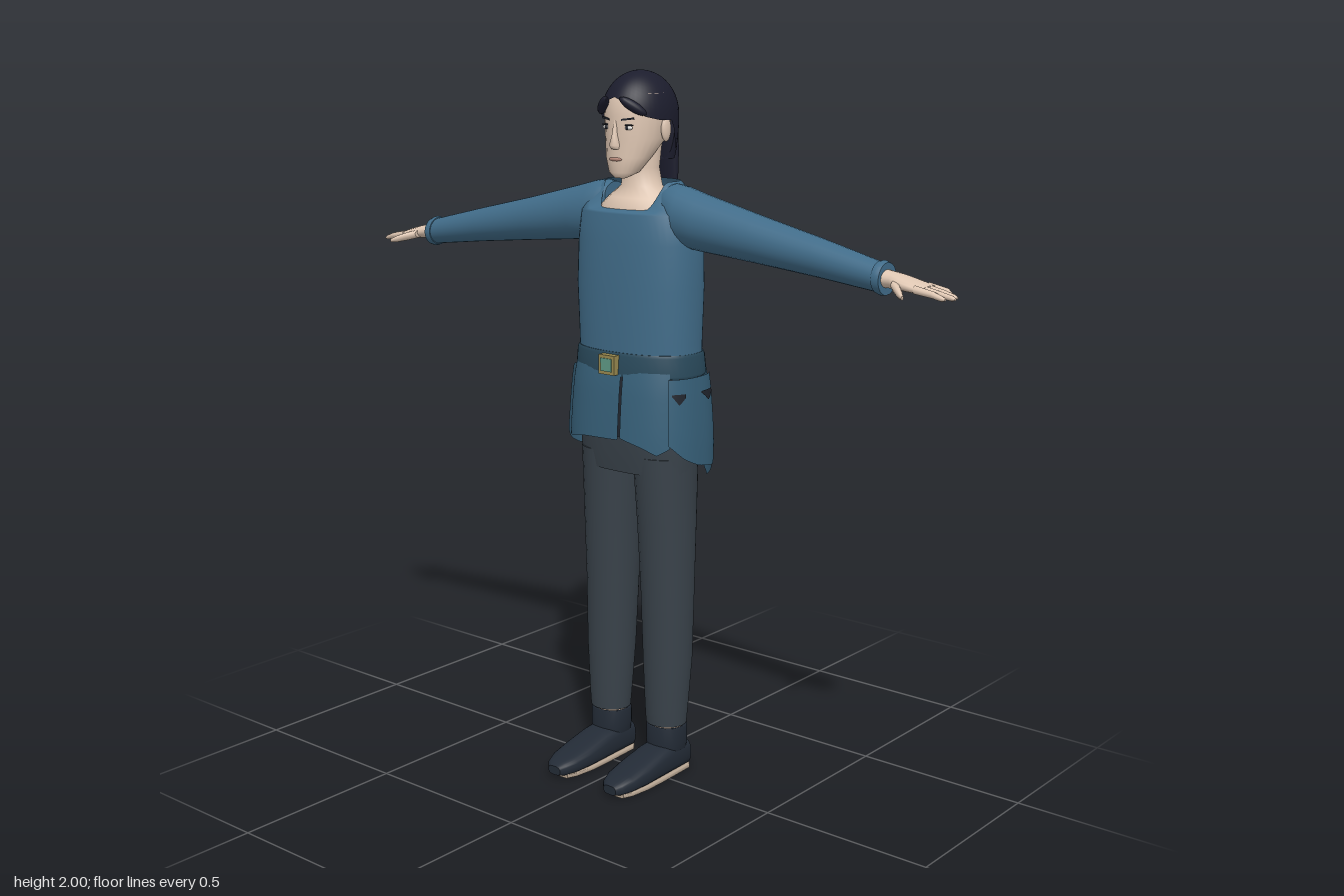
import * as THREE from 'three';

const mat = (color, side = THREE.FrontSide) => new THREE.MeshStandardMaterial({ color, side, roughness: 0.9 });
const M = {
  skin: mat(0xdec6b2), shirt: mat(0x416c89, THREE.DoubleSide), skirt: mat(0x376079, THREE.DoubleSide),
  belt: mat(0x2a4a5c), pants: mat(0x39424a), boot: mat(0x232b36), sole: mat(0xb5a390),
  hair: mat(0x1c1d2d, THREE.DoubleSide), dark: mat(0x20242c), gold: mat(0x9a8a50), green: mat(0x5f9a86),
  lip: mat(0xb98b7c), white: mat(0xe8e6e2),
};

// Grid surface; fn(u, v) returns a point, u running left to right and v upward seen from outside.
function grid(nu, nv, closed, fn) {
  const pos = [], idx = [], cols = closed ? nu : nu + 1;
  for (let j = 0; j <= nv; j++) for (let i = 0; i < cols; i++) pos.push(...fn(i / nu, j / nv));
  for (let j = 0; j < nv; j++) for (let i = 0; i < nu; i++) {
    const a = j * cols + i, b = j * cols + (i + 1) % cols, c = a + cols, d = b + cols;
    idx.push(a, b, c, b, d, c);
  }
  return { pos, idx, cols };
}
function toGeometry({ pos, idx }) {
  const g = new THREE.BufferGeometry();
  g.setAttribute('position', new THREE.Float32BufferAttribute(pos, 3));
  g.setIndex(idx);
  g.computeVertexNormals();
  return g;
}

// Loft through rings [t, cu, cv, ru, rv, power]; (t,u,v) is (x,y,z), (y,z,x) or (z,x,y).
function loft(axis, rings, { caps = true, n = 24, rule } = {}) {
  const put = { x: (t, u, v) => [t, u, v], y: (t, u, v) => [v, t, u], z: (t, u, v) => [u, v, t] }[axis];
  const bend = (c, p) => Math.sign(c) * Math.abs(c) ** (2 / p);
  const g = grid(n, rings.length - 1, true, (s, v) => {
    const [t, cu, cv, ru, rv, p = 2] = rings[Math.round(v * (rings.length - 1))], a = s * Math.PI * 2;
    const q = put(t, cu + ru * bend(Math.cos(a), p), cv + rv * bend(Math.sin(a), p));
    return rule ? rule(q, a) : q;
  });
  if (caps) [0, rings.length - 1].forEach((j) => {
    const start = g.pos.length / 3, [t, cu, cv] = rings[j];
    for (let i = 0; i < n; i++) g.pos.push(...g.pos.slice((j * n + i) * 3, (j * n + i) * 3 + 3));
    g.pos.push(...put(t, cu, cv));
    for (let i = 0; i < n; i++) {
      const a = start + i, b = start + (i + 1) % n;
      g.idx.push(start + n, ...(j ? [a, b] : [b, a]));
    }
  });
  return toGeometry(g);
}

// Reads a value from a list of [key, value] pairs.
function lerpKeys(keys, k) {
  for (let i = 1; i < keys.length; i++) if (k <= keys[i][0]) {
    const [a, va] = keys[i - 1], [b, vb] = keys[i];
    return va + (vb - va) * (k - a) / (b - a);
  }
  return keys[keys.length - 1][1];
}

function mirrored(geo) {
  const g = geo.clone().scale(-1, 1, 1), ix = g.index.array;
  for (let i = 0; i < ix.length; i += 3) [ix[i], ix[i + 1]] = [ix[i + 1], ix[i]];
  g.computeVertexNormals();
  return g;
}

export function createModel() {
  const root = new THREE.Group();
  const add = (name, geo, m) => {
    const mesh = new THREE.Mesh(geo, m);
    mesh.name = name;
    root.add(mesh);
  };
  const pair = (name, geo, m) => { add(name + 'Left', geo, m); add(name + 'Right', mirrored(geo), m); };
  const ball = (x, y, z, sx, sy, sz) => new THREE.SphereGeometry(1, 16, 10).scale(sx, sy, sz).translate(x, y, z);

  // Head, neck and upper chest
  add('head', loft('y', [[1.715, .035, 0, .012, .018], [1.73, .02, 0, .04, .042], [1.77, 0, 0, .06, .064],
    [1.82, -.03, 0, .088, .08], [1.88, -.04, 0, .1, .088], [1.94, -.045, 0, .097, .084], [1.975, -.045, 0, .06, .05]]), M.skin);
  add('neck', loft('y', [[1.55, -.05, 0, .09, .14], [1.62, -.05, 0, .1, .135], [1.66, -.055, 0, .075, .1],
    [1.69, -.055, 0, .053, .06], [1.74, -.05, 0, .05, .053], [1.83, -.06, 0, .055, .055]]), M.skin);
  pair('ear', ball(.088, 1.845, -.05, .01, .034, .018), M.skin);

  // Face
  add('nose', loft('y', [[1.793, .055, 0, .012, .013], [1.803, .056, 0, .021, .015], [1.83, .055, 0, .014, .008],
    [1.87, .053, 0, .007, .006]], { n: 12 }), M.skin);
  pair('eye', ball(.036, 1.85, .047, .016, .006, .006), M.white);
  pair('iris', ball(.036, 1.85, .05, .006, .006, .005), M.dark);
  pair('eyelid', ball(.037, 1.857, .048, .018, .0025, .006), M.dark);
  pair('eyebrow', new THREE.BoxGeometry(.036, .005, .006).rotateZ(.12).rotateY(.3).translate(.037, 1.873, .05), M.dark);
  add('mouth', ball(0, 1.766, .056, .022, .006, .007), M.lip);

  // Hair cap with a hem that dips from the parting to the nape, and a ponytail
  const hem = [[0, 1.93], [.35, 1.918], [.9, 1.88], [1.3, 1.87], [1.75, 1.868], [2, 1.8], [2.5, 1.76], [3.2, 1.755]];
  add('hairCap', toGeometry(grid(48, 16, false, (u, v) => {
    const a = (u * 2 - 1) * Math.PI, h = lerpKeys(hem, Math.abs(a));
    const y = h + (2 - h) * Math.sin(v * Math.PI / 2);
    const d = y - 1.88, r = Math.sqrt(Math.max(0, 1 - (d / (d > 0 ? .12 : .26)) ** 2));
    return [.097 * r * Math.sin(a), y, -.048 + .118 * r * Math.cos(a)];
  })), M.hair);
  pair('hairLock', ball(0, 0, 0, .042, .014, .014).rotateZ(-.55).rotateY(.65).translate(.052, 1.907, .046), M.hair);
  add('ponytail', loft('y', [[1.53, -.178, 0, .004, .004], [1.58, -.177, 0, .01, .02], [1.65, -.173, 0, .013, .03],
    [1.78, -.168, 0, .018, .037], [1.88, -.163, 0, .02, .035], [1.925, -.145, 0, .016, .02]]), M.hair);

  // Shirt body with a scooped neckline
  const scoop = ([x, y, z], a) => {
    const f = THREE.MathUtils.smoothstep(Math.cos(a), .3, .75);
    return y > 1.63 ? [x, y - (y - 1.615) * .82 * f, z + (y - 1.63) * .3 * f] : [x, y, z];
  };
  add('shirt', loft('y', [[1.18, -.05, 0, .118, .19, 2.3], [1.27, -.05, 0, .12, .19, 2.3], [1.42, -.049, 0, .122, .196, 2.3],
    [1.54, -.05, 0, .12, .192, 2.3], [1.62, -.052, 0, .116, .18, 2.4], [1.67, -.056, 0, .102, .152, 2.4],
    [1.705, -.06, 0, .08, .112, 2.2]], { caps: false, n: 48, rule: scoop }), M.shirt);

  // Sleeves with cuffs
  pair('sleeve', loft('x', [[.095, 1.66, -.055, .035, .045], [.125, 1.633, -.053, .068, .065], [.16, 1.613, -.052, .082, .072],
    [.22, 1.602, -.05, .077, .07], [.4, 1.572, -.05, .063, .061], [.6, 1.54, -.045, .05, .051], [.785, 1.508, -.037, .038, .041]]), M.shirt);
  pair('cuff', loft('x', [[.78, 1.509, -.037, .041, .044], [.79, 1.508, -.037, .044, .046], [.802, 1.506, -.037, .041, .043]]), M.shirt);

  // Hands
  pair('palm', loft('x', [[.79, 1.508, -.036, .024, .03], [.825, 1.505, -.036, .021, .031], [.85, 1.501, -.037, .019, .042],
    [.89, 1.494, -.038, .015, .046], [.92, 1.489, -.04, .01, .043]], { n: 16 }), M.skin);
  [[-.075, .97], [-.051, .992], [-.027, 1], [-.005, .985]].forEach(([z, end], i) =>
    pair('finger' + (i + 1), loft('x', [[.9, 1.492, z, .011, .0115], [.95, 1.484, z, .009, .0105],
      [end - .01, 1.477, z, .007, .008], [end, 1.475, z, .003, .004]], { n: 10 }), M.skin));
  pair('thumb', loft('x', [[.84, 1.498, -.01, .012, .02], [.865, 1.49, .018, .012, .016], [.885, 1.483, .038, .01, .012],
    [.9, 1.478, .052, .005, .005]], { n: 12 }), M.skin);

  // Belt and buckle
  add('belt', loft('y', [[1.178, -.052, 0, .13, .196, 2.3], [1.185, -.052, 0, .133, .199, 2.3], [1.235, -.051, 0, .128, .195, 2.3],
    [1.243, -.051, 0, .123, .191, 2.3]], { n: 48 }), M.belt);
  add('buckle', new THREE.BoxGeometry(.056, .054, .024).translate(0, 1.21, .085), M.gold);
  add('buckleInlay', new THREE.BoxGeometry(.038, .036, .006).translate(0, 1.21, .097), M.green);

  // Flared skirt panels; angles run from the front towards +x, hem is [angle, height]
  const round = (c) => Math.sign(c) * Math.abs(c) ** .8;
  const panel = (hemKeys, grow = 0, top = 1.195) => {
    const a0 = hemKeys[0][0], a1 = hemKeys[hemKeys.length - 1][0];
    return toGeometry(grid(20, 6, false, (u, v) => {
      const a = a0 + (a1 - a0) * u, h = lerpKeys(hemKeys, a), y = h + (top - h) * v;
      const s = Math.min(1, (1.2 - y) / .2), fl = Math.sqrt(s);
      return [(.19 + grow + .018 * fl) * round(Math.sin(a)), y, -.052 + (.126 + grow + .026 * fl) * round(Math.cos(a))];
    }));
  };
  add('frontPanelRight', panel([[-1, .985], [-.75, .985], [-.3, 1], [.13, 1.005]]), M.skirt);
  add('frontPanelLeft', panel([[.16, 1.01], [.5, .99], [.75, .97], [1, .99]]), M.skirt);
  add('frontPanelEdge', panel([[.1, 1.01], [.2, 1.02]], -.006), M.dark);
  pair('sidePanel', panel([[.95, 1.0], [1.25, .96], [1.6, .93], [1.95, .92], [2.1, .94]], .006, 1.18), M.skirt);
  pair('backPanel', panel([[2.05, .92], [2.3, .89], [2.5, .87], [2.75, .92], [2.95, .93]], .001), M.skirt);
  add('backCentrePanel', panel([[2.85, .96], [Math.PI, .95], [3.43, .96]], -.006), M.skirt);
  // Pocket slits
  [[1.02, 1.3], [1.6, 1.95]].forEach(([a, b], i) =>
    pair('pocketSlit' + (i + 1), panel([[a, 1.135], [(a + b) / 2, 1.11], [b, 1.13]], .009, 1.14), M.dark));

  // Trousers
  add('hips', loft('y', [[.9, -.048, 0, .098, .182, 2.5], [.96, -.05, 0, .108, .186, 2.5], [1.05, -.05, 0, .115, .188, 2.4],
    [1.19, -.05, 0, .115, .185, 2.3]], { n: 40 }), M.pants);
  pair('leg', loft('y', [[.155, -.043, .105, .057, .06], [.2, -.044, .105, .061, .063], [.35, -.048, .105, .07, .072],
    [.55, -.05, .102, .077, .077], [.75, -.049, .099, .086, .083], [.95, -.048, .094, .097, .09]]), M.pants);
  pair('ankle', loft('y', [[.1, -.045, .105, .047, .05], [.165, -.045, .105, .047, .05]]), M.skin);

  // Boots
  pair('bootCuff', loft('y', [[.075, -.046, .105, .055, .052, 2.4], [.1, -.046, .105, .056, .057, 2.4],
    [.146, -.046, .105, .054, .058, 2.4], [.148, -.046, .105, .049, .053, 2.4]]), M.boot);
  pair('boot', loft('z', [[-.11, .105, .045, .036, .037, 3], [-.1, .105, .05, .048, .042, 3], [-.03, .105, .054, .053, .046, 3],
    [.03, .105, .049, .055, .041, 3], [.1, .105, .04, .056, .032, 3], [.16, .105, .033, .05, .025, 3],
    [.195, .105, .028, .037, .02, 3], [.21, .105, .024, .022, .013, 3]]), M.boot);
  pair('sole', loft('z', [[-.108, .105, .007, .036, .007, 6], [-.095, .105, .007, .046, .007, 6], [.03, .105, .007, .052, .007, 6],
    [.1, .105, .007, .053, .007, 6], [.16, .105, .007, .046, .007, 6], [.19, .105, .007, .034, .007, 6]]), M.sole);

  return root;
}
